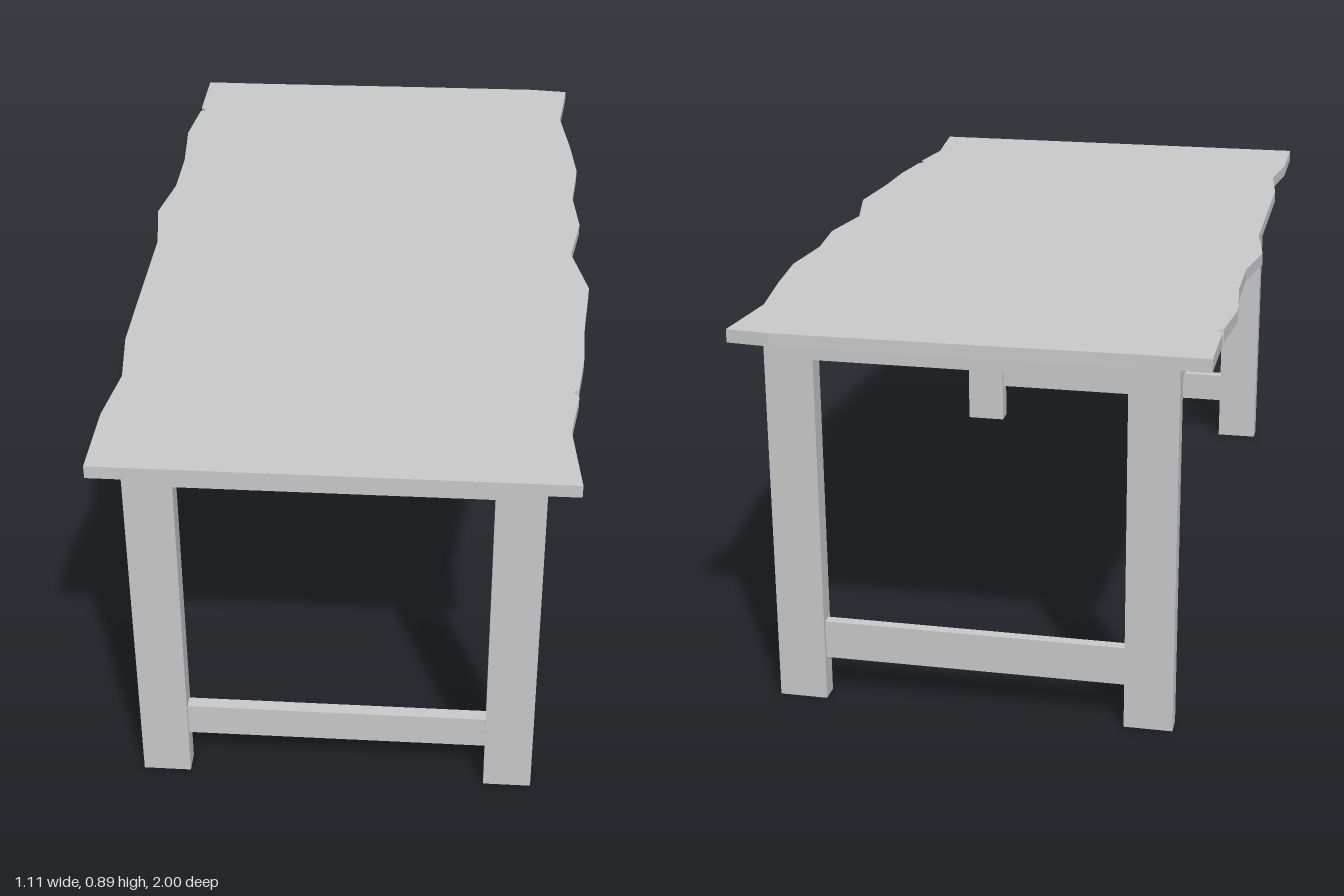
import * as THREE from 'three';

const material = new THREE.MeshStandardMaterial({ color: 0xcccccc, flatShading: true });

// Box given by its lower and upper corners
function box(name, [x0, y0, z0], [x1, y1, z1]) {
  const geometry = new THREE.BoxGeometry(x1 - x0, y1 - y0, z1 - z0);
  geometry.translate((x0 + x1) / 2, (y0 + y1) / 2, (z0 + z1) / 2);
  const mesh = new THREE.Mesh(geometry, material);
  mesh.name = name;
  return mesh;
}

// Slab with wavy, slightly chipped long edges; points are (x, z)
function tableTop() {
  const leftEdge = [
    [0.52, 1], [0.5, 0.8], [0.52, 0.66], [0.505, 0.64], [0.52, 0.63], [0.535, 0.5],
    [0.54, 0.35], [0.555, 0.17], [0.515, 0], [0.54, -0.16], [0.525, -0.31],
    [0.54, -0.47], [0.525, -0.62], [0.5, -0.8], [0.52, -0.99],
  ];
  const backEdge = [[0.42, -1], [0.1, -0.997], [-0.37, -0.99]];
  const rightEdge = [
    [-0.53, -0.99], [-0.53, -0.81], [-0.515, -0.795], [-0.53, -0.785], [-0.545, -0.64],
    [-0.53, -0.47], [-0.53, -0.31], [-0.555, -0.16], [-0.53, 0], [-0.53, 0.48],
    [-0.51, 0.64], [-0.53, 0.8], [-0.53, 1],
  ];
  const points = [...leftEdge, ...backEdge, ...rightEdge].map(([x, z]) => new THREE.Vector2(x, -z));
  const geometry = new THREE.ExtrudeGeometry(new THREE.Shape(points), { depth: 0.03, bevelEnabled: false });
  geometry.rotateX(-Math.PI / 2).translate(0, 0.86, 0);
  const mesh = new THREE.Mesh(geometry, material);
  mesh.name = 'tableTop';
  return mesh;
}

export function createModel() {
  const group = new THREE.Group();
  group.name = 'table';
  group.add(tableTop());

  // Solid layer under the top, flush with the legs
  group.add(box('underFrame', [-0.46, 0.82, -0.955], [0.45, 0.86, 0.965]));

  // A pair of legs joined by a low rail at each end
  const ends = [
    { end: 'front', z0: 0.915, z1: 0.965, railY: 0.11 },
    { end: 'back', z0: -0.955, z1: -0.91, railY: 0.1 },
  ];
  for (const { end, z0, z1, railY } of ends) {
    const rightLeg = box(end + 'RightLeg', [-0.46, 0, z0], [-0.35, 0.82, z1]);
    const leftLeg = box(end + 'LeftLeg', [0.34, 0, z0], [0.45, 0.82, z1]);
    const rail = box(end + 'Rail', [-0.35, railY, z0 + 0.01], [0.34, 0.19, z1 - 0.01]);
    group.add(rightLeg, leftLeg, rail);
  }
  return group;
}
